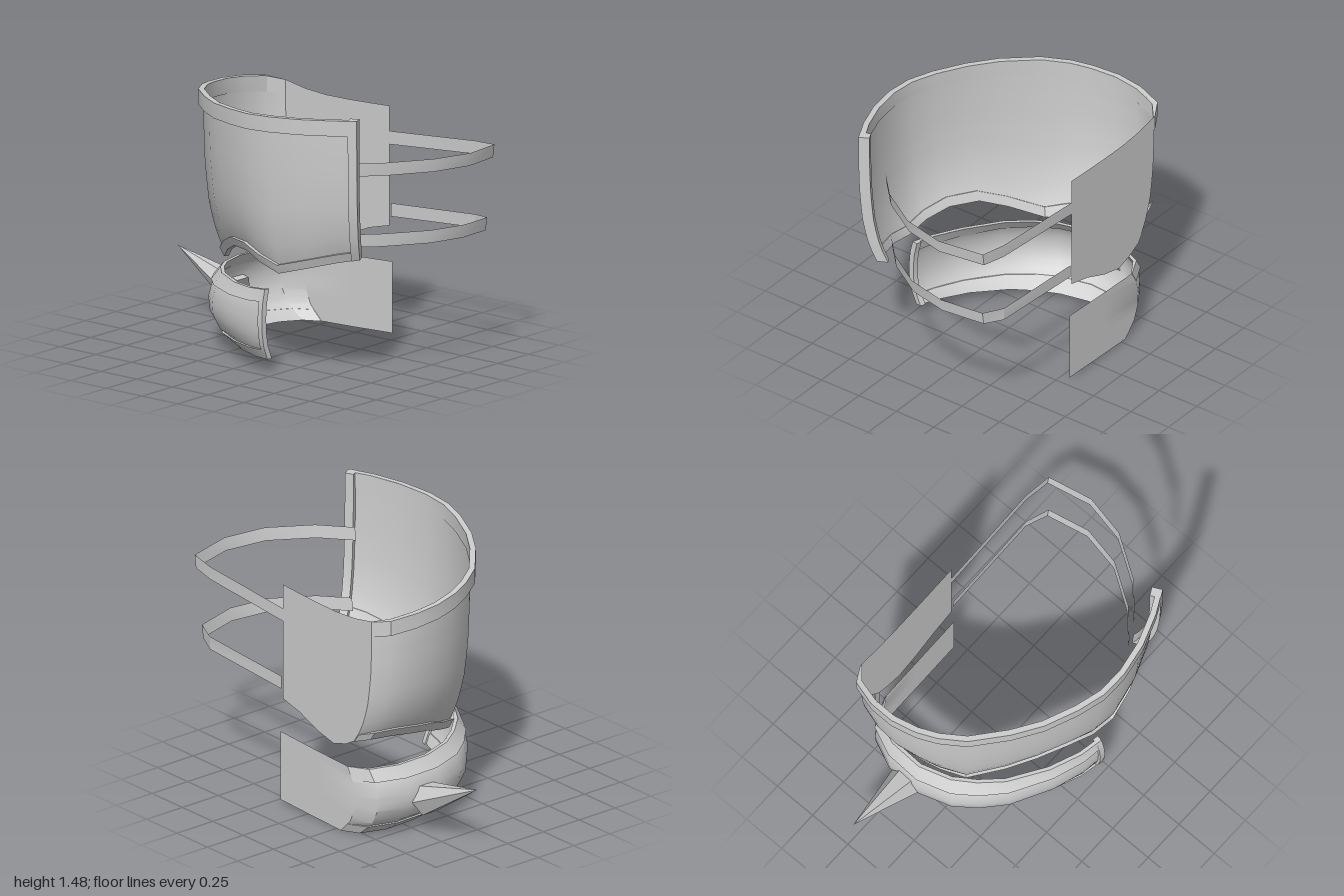
import * as THREE from 'three';
import { toCreasedNormals } from 'three/addons/utils/BufferGeometryUtils.js';

const steel = new THREE.MeshStandardMaterial({ color: 0xcccccc, side: THREE.DoubleSide });
steel.name = 'plain steel';
const CX = 0.56, CZ = 0.2; // point the walls taper towards

// Grid of points rows[j][i] -> indexed surface
function grid(rows, close = false) {
  const pos = rows.flat(2), idx = [], n = rows[0].length;
  for (let j = 0; j < rows.length - 1; j++) {
    for (let i = 0; i < (close ? n : n - 1); i++) {
      const k = (i + 1) % n, a = j * n + i, b = j * n + k;
      idx.push(a, a + n, b, b, a + n, b + n);
    }
  }
  if (close) {
    const e = (rows.length - 1) * n;
    idx.push(0, 1, 2, 0, 2, 3, e, e + 2, e + 1, e, e + 3, e + 2);
  }
  const g = new THREE.BufferGeometry();
  g.setAttribute('position', new THREE.Float32BufferAttribute(pos, 3));
  g.setIndex(idx);
  return g;
}

function mesh(name, geo, crease) {
  const g = toCreasedNormals(geo, crease);
  const m = new THREE.Mesh(g, steel);
  m.name = name;
  return m;
}

// Curved wall from columns [x, z, yTop, yBottom, taper] and a taper profile [v, amount]
function wall(cols, profile) {
  const taperAt = v => {
    let k = 1;
    while (k < profile.length - 1 && v > profile[k][0]) k++;
    const [v0, p0] = profile[k - 1], [v1, p1] = profile[k];
    return p0 + (p1 - p0) * (v - v0) / (v1 - v0);
  };
  // point at column u (may be fractional), height v from the top, pushed outwards by off
  const point = (u, v, off = 0) => {
    const i = Math.min(Math.floor(u), cols.length - 2), f = u - i;
    const c = cols[i].map((a, k) => a + (cols[i + 1][k] - a) * f);
    const a = cols[Math.max(0, Math.ceil(u) - 1)], b = cols[Math.min(cols.length - 1, Math.floor(u) + 1)];
    const dx = b[0] - a[0], dz = b[1] - a[1], l = Math.hypot(dx, dz);
    const s = 1 - c[4] * taperAt(v);
    const x = CX + (c[0] - CX) * s + off * dz / l;
    const z = CZ + (c[1] - CZ) * s - off * dx / l;
    return [Math.min(CX, x), c[2] + (c[3] - c[2]) * v, z];
  };
  const height = u => cols[u][2] - cols[u][3];
  const surface = n => grid(Array.from({ length: n + 1 }, (_, j) => cols.map((_, i) => point(i, j / n))));
  // four-sided trim bar between two lines of (u, v) on the wall
  const trim = (lineA, lineB, o0, o1) => grid(lineA.map((a, k) => {
    const b = lineB[k];
    return [point(...a, o0), point(...a, o1), point(...b, o1), point(...b, o0)];
  }), true);
  const across = (n, fn) => Array.from({ length: n }, (_, u) => [u, fn(u)]);
  const down = (u, n) => Array.from({ length: n + 1 }, (_, j) => [u, j / n]);
  return { height, surface, trim, across, down };
}

function upperGuard() {
  const g = new THREE.Group();
  g.name = 'upperGuard';
  const w = wall([
    [-0.385, 0.775, 1.48, 0.69, 0.09], [-0.45, 0.65, 1.475, 0.665, 0.085],
    [-0.51, 0.48, 1.465, 0.62, 0.08], [-0.54, 0.3, 1.455, 0.57, 0.08],
    [-0.535, 0.15, 1.445, 0.605, 0.09], [-0.49, 0, 1.435, 0.635, 0.1],
    [-0.41, -0.18, 1.42, 0.62, 0.11], [-0.31, -0.33, 1.41, 0.555, 0.12],
    [-0.16, -0.5, 1.39, 0.465, 0.13], [-0.03, -0.585, 1.375, 0.505, 0.15],
    [0.08, -0.63, 1.36, 0.54, 0.16], [0.22, -0.66, 1.345, 0.565, 0.17],
    [0.36, -0.655, 1.33, 0.58, 0.18], [0.495, -0.615, 1.31, 0.575, 0.19],
    [0.56, -0.54, 1.29, 0.55, 0.2],
    // flat inner side
    [0.56, -0.4, 1.265, 0.515, 0.12], [0.56, -0.26, 1.255, 0.485, 0.07],
    [0.56, -0.1, 1.257, 0.515, 0], [0.56, 0.05, 1.263, 0.575, 0], [0.56, 0.19, 1.27, 0.61, 0],
  ], [[0, 0], [0.2, 0], [0.44, 0.06], [0.65, 0.2], [0.8, 0.42], [0.9, 0.65], [1, 1]]);
  g.add(mesh('upperShell', w.surface(12), 0.6));
  const n = 15;
  g.add(mesh('upperTopRim', w.trim(w.across(n, () => 0), w.across(n, u => 0.085 / w.height(u)), -0.004, 0.028), 0.5));
  g.add(mesh('upperBottomRim', w.trim(w.across(n, u => 1 - 0.05 / w.height(u)), w.across(n, () => 1), -0.003, 0.02), 0.5));
  g.add(mesh('upperEndRim', w.trim(w.down(0, 12), w.down(0.35, 12), -0.03, 0.03), 0.5));
  return g;
}

function lowerBand() {
  const g = new THREE.Group();
  g.name = 'lowerBand';
  const w = wall([
    [-0.495, 0.21, 0.47, 0.08, 0.045], [-0.48, 0.08, 0.455, 0.07, 0.07],
    [-0.42, -0.1, 0.44, 0.06, 0.1], [-0.3, -0.32, 0.43, 0.045, 0.14],
    [-0.19, -0.44, 0.423, 0.035, 0.165], [-0.07, -0.53, 0.415, 0.027, 0.185],
    [0.12, -0.59, 0.408, 0.018, 0.19], [0.33, -0.58, 0.4, 0.01, 0.19],
    [0.49, -0.51, 0.393, 0.004, 0.19], [0.56, -0.4, 0.39, 0.001, 0.19],
    // flat inner side
    [0.56, -0.1, 0.4, 0.008, 0.1], [0.56, 0.21, 0.415, 0.02, 0],
  ], [[0, 0.5], [0.2, 0.13], [0.4, 0], [0.6, 0.04], [0.8, 0.32], [1, 1]]);
  g.add(mesh('lowerShell', w.surface(10), 0.6));
  const n = 10;
  g.add(mesh('lowerTopRim', w.trim(w.across(n, () => 0), w.across(n, () => 0.17), -0.004, 0.016), 0.5));
  g.add(mesh('lowerBottomRim', w.trim(w.across(n, () => 0.86), w.across(n, () => 1), -0.004, 0.016), 0.5));
  g.add(mesh('lowerEndRim', w.trim(w.down(0, 10), w.down(0.25, 10), -0.016, 0.016), 0.5));
  return g;
}

// Six-sided spike leaning up and back
function spike() {
  const base = new THREE.Vector3(0.213, 0.185, -0.575), tip = new THREE.Vector3(0.213, 0.37, -1);
  const axis = tip.clone().sub(base);
  const geo = new THREE.ConeGeometry(0.095, axis.length(), 6, 1);
  geo.rotateY(Math.PI / 6 + Math.PI / 3); 
  const m = mesh('spike', geo, 0.1);
  m.quaternion.setFromUnitVectors(new THREE.Vector3(0, 1, 0), axis.normalize());
  m.position.copy(base).add(tip).multiplyScalar(0.5);
  return m;
}

// Thin strap: points are [x, z, yTop]
function strap(name, pts) {
  const top = pts.map(([x, z, y]) => [x, y, z]);
  const bottom = pts.map(([x, z, y], i) => [x, y - 0.073, i < 5 ? z - 0.01 : z]);
  return mesh(name, grid([top, bottom]), 0.4);
}

export function createModel() {
  const model = new THREE.Group();
  model.name = 'armGuard';
  model.add(upperGuard(), lowerBand(), spike());
  model.add(strap('upperStrap', [
    [-0.335, 0.65, 1.207], [-0.19, 0.805, 1.212], [0.04, 0.95, 1.212], [0.28, 0.998, 1.205],
    [0.535, 0.945, 1.192], [0.56, 0.79, 1.18], [0.56, 0.18, 1.13],
  ]));
  model.add(strap('lowerStrap', [
    [-0.305, 0.64, 0.81], [-0.175, 0.78, 0.814], [0.045, 0.92, 0.813], [0.27, 0.963, 0.806],
    [0.51, 0.915, 0.79], [0.56, 0.79, 0.775], [0.56, 0.2, 0.735],
  ]));
  return model;
}
